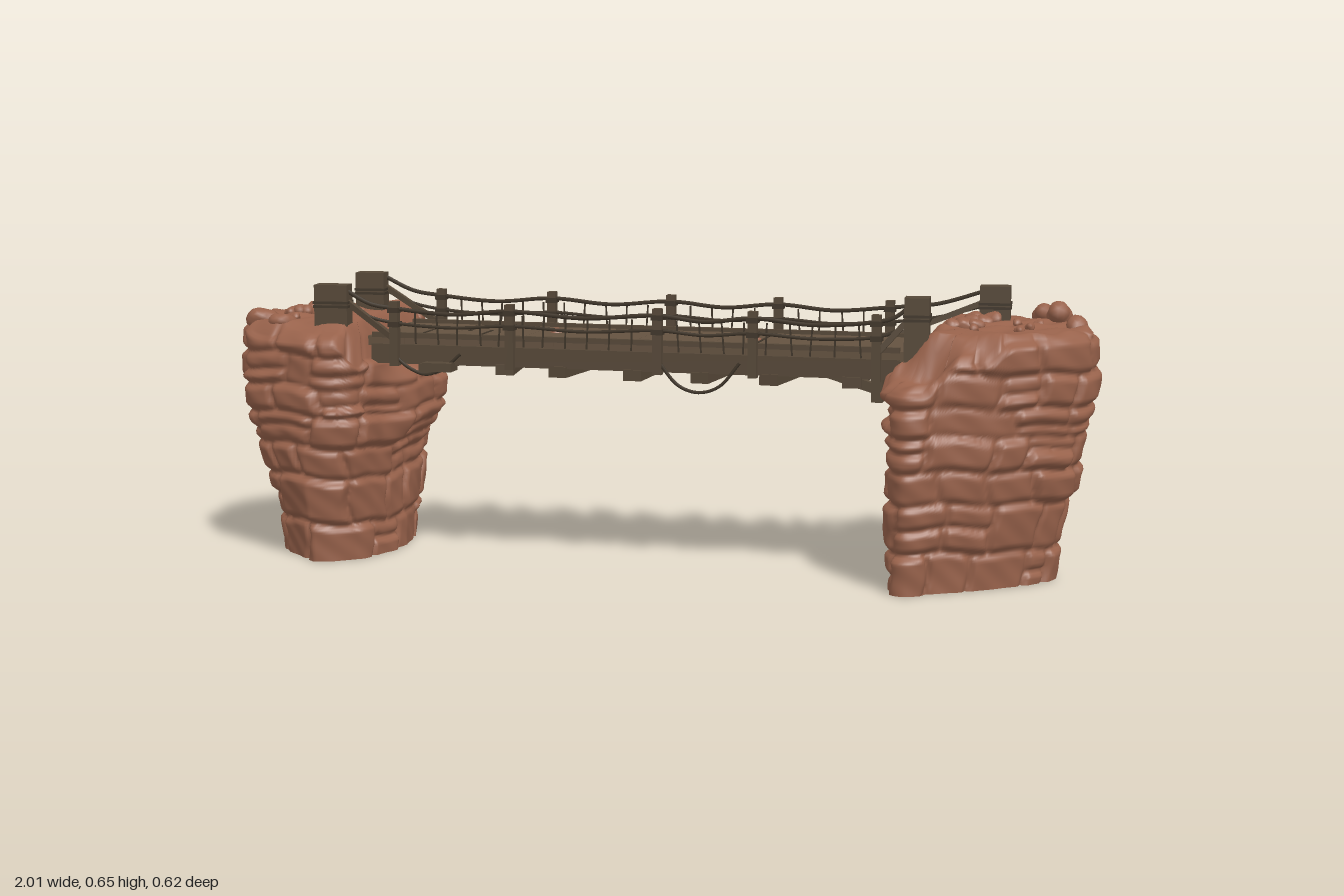
import * as THREE from 'three';
import { mergeVertices } from 'three/addons/utils/BufferGeometryUtils.js';

const material = (name, color) => new THREE.MeshStandardMaterial({ name, color });
const rock = material('red rock', 0x98624b);
const deckWood = material('deck wood', 0x645240);
const darkWood = material('dark wood', 0x564838);
const rope = material('rope', 0x40362a);

const V = (x, y, z) => new THREE.Vector3(x, y, z);
const smooth = THREE.MathUtils.smoothstep;
const TAU = Math.PI * 2;
const hash = (a, b = 0) => {
  const s = Math.sin(a * 127.1 + b * 311.7 + 4.3) * 43758.5453;
  return s - Math.floor(s);
};

function add(parent, name, geometry, mat, x = 0, y = 0, z = 0) {
  const mesh = new THREE.Mesh(geometry, mat);
  mesh.name = name;
  mesh.position.set(x, y, z);
  parent.add(mesh);
  return mesh;
}
const box = (parent, name, mat, w, h, d, x, y, z) =>
  add(parent, name, new THREE.BoxGeometry(w, h, d), mat, x, y, z);

// Square timber between two points
function timber(parent, name, a, b, size, mat = darkWood) {
  const mesh = box(parent, name, mat, size, a.distanceTo(b), size, 0, 0, 0);
  mesh.position.copy(a).lerp(b, 0.5);
  mesh.quaternion.setFromUnitVectors(V(0, 1, 0), b.clone().sub(a).normalize());
}

function cord(parent, name, points, r = 0.005) {
  const curve = new THREE.CatmullRomCurve3(points);
  add(parent, name, new THREE.TubeGeometry(curve, points.length * 6, r, 6), rope);
}

// Rows of stones wrapped round a pillar: seams sink, every stone stands out differently, some are split
const rowTops = [0, 0.085, 0.195, 0.27, 0.345, 0.41, 0.485, 0.64];
function stoneRelief(u, y, seed) {
  const wave = 0.007 * Math.sin(u * TAU * 2 + seed) + 0.004 * Math.sin(u * TAU * 7 + seed * 3);
  const yy = Math.max(0.001, y + wave * smooth(y, 0, 0.06));
  let row = 0;
  while (row < 6 && yy > rowTops[row + 1]) row++;
  const count = 9 + Math.floor(hash(row, seed) * 5);
  const along = u * count + hash(row, seed + 5) + 0.05 * Math.sin(y * 45 + seed);
  const edge = (k) => k + (hash(((k % count) + count) % count, row + seed) - 0.5) * 0.65;
  let k = Math.floor(along);
  if (along < edge(k)) k--;
  if (along >= edge(k + 1)) k++;
  const stone = ((k % count) + count) % count;
  const width = 1.6 / count;
  const du = Math.min(along - edge(k), edge(k + 1) - along) * width;
  let dy = Math.min(row ? yy - rowTops[row] : 1, rowTops[row + 1] - yy);
  let stand = 0.007 + 0.02 * hash(stone + 3, row * 7 + seed);
  if (hash(stone, row * 3 + seed) > 0.6) {
    const split = THREE.MathUtils.lerp(rowTops[row], rowTops[row + 1], 0.35 + 0.3 * hash(stone, row));
    dy = Math.min(dy, Math.abs(yy - split));
    if (yy > split) stand = 0.027 - stand * 0.7;
  }
  const round = (d) => smooth(d, -0.008, 0.017);
  const rough = 0.002 * Math.sin(u * TAU * 13 + y * 37) * Math.sin(y * 61 + u * TAU * 5);
  return (stand + rough) * round(du) * round(dy) - 0.011;
}

// Closed pillar: stone wall, then rings closing the top and the base
function pillarGeometry(outline, shape, top, seed) {
  const n = 240, rows = 92, capRings = 16, pos = [], index = [];
  const curve = new THREE.CatmullRomCurve3(outline.map(([x, z]) => V(x, 0, z)), true);
  const center = V(0, 0, 0);
  outline.forEach(([x, z]) => center.add(V(x, 0, z).divideScalar(outline.length)));
  const rim = [];
  for (let j = 0; j <= rows; j++) {
    for (let i = 0; i < n; i++) {
      const u = i / n, p = curve.getPointAt(u), t = curve.getTangentAt(u);
      const y = (j / rows) * (top(p.x, p.z) - 0.01);
      const q = shape(p.x, y, p.z);
      const out = stoneRelief(u, y, seed) - 0.014 * smooth(j / rows, 0.97, 1);
      pos.push(q.x - t.z * out, y, q.z + t.x * out);
      if (j === rows) rim.push(V(q.x - t.z * out, y, q.z + t.x * out));
    }
  }
  for (let j = 1; j <= capRings; j++) {
    const s = 1 - j / capRings;
    for (const r of rim) {
      const x = center.x + (r.x - center.x) * s, z = center.z + (r.z - center.z) * s;
      const lump = 0.005 * Math.sin(x * 47 + seed) * Math.sin(z * 53) + 0.003 * Math.sin(x * 29 + 2) * Math.sin(z * 71 + x * 20);
      pos.push(x, top(x, z) + lump, z);
    }
  }
  const total = rows + capRings;
  for (let j = 0; j < total; j++) for (let i = 0; i < n; i++) {
    const a = j * n + i, b = j * n + (i + 1) % n;
    index.push(a, b, b + n, a, b + n, a + n);
  }
  const base = pos.length / 3;
  for (let i = 0; i < n; i++) pos.push(pos[i * 3], 0, pos[i * 3 + 2]);
  pos.push(center.x, 0, center.z);
  for (let i = 0; i < n; i++) index.push(base + n, base + (i + 1) % n, base + i);
  const g = new THREE.BufferGeometry();
  g.setAttribute('position', new THREE.Float32BufferAttribute(pos, 3));
  g.setIndex(index);
  g.computeVertexNormals();
  return g;
}

function boulder(parent, x, y, z, r, seed) {
  let g = new THREE.IcosahedronGeometry(r, 2);
  g.deleteAttribute('normal');
  g.deleteAttribute('uv');
  g = mergeVertices(g);
  const p = g.attributes.position, v = V(0, 0, 0);
  for (let i = 0; i < p.count; i++) {
    v.fromBufferAttribute(p, i);
    const d = v.clone().divideScalar(r);
    v.multiplyScalar(1 + 0.16 * Math.sin(d.x * 3 + seed) + 0.12 * Math.sin(d.z * 4 + d.y * 3 + seed * 2));
    p.setXYZ(i, v.x, v.y * 0.8, v.z);
  }
  g.computeVertexNormals();
  add(parent, 'looseRock', g, rock, x, y, z);
}

export function createModel() {
  const model = new THREE.Group();
  const group = (name) => {
    const g = new THREE.Group();
    g.name = name;
    model.add(g);
    return g;
  };

  // Rock pillars, narrower and rounder at the foot
  const rightTop = (x, z) => 0.57 - smooth(z, 0.16, 0.21) * (0.045 * (1 - smooth(x, 0.76, 0.84)) + 0.06 * (1 - smooth(x, 0.64, 0.72)))
    - 0.06 * (1 - smooth(x, 0.58, 0.65)) * (1 - smooth(z, 0.16, 0.21));
  const leftTop = (x, z) => 0.56 - 0.075 * smooth(x, -0.72, -0.66) - 0.02 * smooth(z, 0.2, 0.24);
  const footCut = (dx, dz, y, amount) => 1 - amount * Math.min(1, Math.abs(dx * dz) / 0.03) * (1 - smooth(y, -0.1, 0.45));
  const leftPillar = group('pillarAtNegativeX'), rightPillar = group('pillarAtPositiveX');
  add(leftPillar, 'stackedStones', pillarGeometry(
    [[-0.99, -0.06], [-0.985, 0.1], [-0.96, 0.21], [-0.87, 0.25], [-0.75, 0.285], [-0.685, 0.26], [-0.655, 0.14],
      [-0.65, 0], [-0.645, -0.12], [-0.655, -0.22], [-0.72, -0.305], [-0.8, -0.28], [-0.89, -0.235], [-0.945, -0.15]],
    (x, y, z) => {
      const rise = smooth(y, 0, 0.4), cut = footCut(x + 0.81, z, y, 0.24);
      const bulge = 0.055 * smooth(x, -0.75, -0.66) * (1 - smooth(Math.abs(z + 0.04), 0.08, 0.2))
        * smooth(y, 0.22, 0.34) * (1 - smooth(y, 0.4, 0.47));
      return V(-0.8 + (x + 0.8) * (0.88 + 0.12 * rise) * cut + bulge + 0.022 * (1 - rise), y, z * (0.86 + 0.14 * rise) * cut);
    }, leftTop, 2), rock);
  add(rightPillar, 'stackedStones', pillarGeometry(
    [[0.575, 0.1], [0.555, 0.22], [0.6, 0.29], [0.7, 0.25], [0.82, 0.18], [0.94, 0.08], [0.99, 0],
      [0.975, -0.1], [0.91, -0.185], [0.8, -0.23], [0.66, -0.25], [0.59, -0.19], [0.57, -0.06]],
    (x, y, z) => {
      const cut = z < 0 ? footCut(x - 0.75, z, y, x < 0.75 ? 0.36 : 0.22) : 1;
      const depth = z < 0 ? 0.87 + 0.13 * smooth(y, 0, 0.45) : 0.89 + 0.12 * smooth(y, 0, 0.3);
      const sx = 0.572 + (x - 0.572) * (0.77 + 0.23 * smooth(y, -0.12, 0.53));
      return V(0.74 + (sx - 0.74) * cut, y, z * depth * cut);
    }, rightTop, 9), rock);

  // Loose rocks on the pillar tops
  for (let i = 0; i < 18; i++) {
    const a = hash(i, 1) * TAU, d = 0.3 + 0.6 * hash(i, 2), r = 0.009 + 0.013 * hash(i, 3);
    const lx = -0.84 + Math.cos(a) * d * 0.11, lz = Math.sin(a) * d * 0.2;
    boulder(leftPillar, lx, leftTop(lx, lz) + 0.003, lz, r, i);
    const rx = 0.76 + Math.cos(a) * d * 0.14, rz = Math.sin(a) * d * 0.16 - 0.03;
    boulder(rightPillar, rx, rightTop(rx, rz) + 0.003, rz, r, i + 40);
  }
  for (const [x, y, z, r] of [[-0.94, 0.56, 0.16, 0.033], [-0.88, 0.555, 0.19, 0.03], [-0.72, 0.52, -0.25, 0.034]])
    boulder(leftPillar, x, y, z, r, x * 9);
  for (const [x, y, z, r] of [[0.89, 0.585, -0.15, 0.034], [0.85, 0.58, -0.19, 0.03], [0.94, 0.565, -0.07, 0.03]])
    boulder(rightPillar, x, y, z, r, x * 9);

  // Deck planks, side beams and skewed joists
  const deck = group('deck');
  const planks = 14, step = 1.26 / planks;
  for (let i = 0; i < planks; i++)
    box(deck, 'plank', deckWood, step, 0.022, 0.278 + 0.006 * hash(i), -0.68 + step * (i + 0.5), 0.514 + 0.0004 * hash(i, 4), 0.01);
  for (const z of [-0.127, 0.147]) {
    box(deck, 'sideBeam', darkWood, 1.24, 0.045, 0.022, -0.05, 0.485, z);
    box(deck, 'edgeBoard', darkWood, 1.24, 0.012, 0.012, -0.05, 0.528, z);
  }
  for (let i = 0; i < 7; i++)
    box(deck, 'joist', darkWood, 0.042, 0.025, 0.31, -0.53 + i * 0.165, 0.457 - 0.008 * hash(i, 6), 0.01).rotation.y = (hash(i, 8) - 0.5) * 0.3;
  box(deck, 'joistEnd', darkWood, 0.07, 0.02, 0.05, -0.5, 0.46, 0.165);
  for (const [x, z, length] of [[-0.57, 0.06, 0.12], [-0.48, -0.04, 0.1], [-0.43, 0.06, 0.15], [0.23, 0.02, 0.21]])
    box(deck, 'plankGap', rope, 0.006, 0.003, length, x, 0.525, z);
  boulder(deck, -0.27, 0.522, -0.02, 0.016, 3);
  boulder(deck, 0.21, 0.522, 0.01, 0.016, 5);

  // Corner posts with rope lashings
  const anchors = group('cornerPosts');
  for (const [x, z, w, d] of [[-0.77, -0.115, 0.07, 0.045], [-0.75, 0.19, 0.078, 0.046], [0.742, -0.157, 0.07, 0.05], [0.607, 0.142, 0.055, 0.052]]) {
    box(anchors, 'cornerPost', darkWood, w, 0.17, d, x, 0.562, z).rotation.y = 0.08;
    for (const y of [0.597, 0.606])
      box(anchors, 'lashing', rope, w + 0.005, 0.006, d + 0.005, x, y, z).rotation.y = 0.08;
  }

  // Railings: posts, sagging ropes, ties and end braces
  const railing = (name, z, posts, start, end) => {
    const g = group(name), out = Math.sign(z) * 0.01;
    for (const x of posts) {
      box(g, 'railPost', darkWood, 0.02, 0.15, 0.02, x, 0.533, z + out);
      box(g, 'postKnot', rope, 0.026, 0.012, 0.026, x, 0.588, z + out);
      box(g, 'postKnot', rope, 0.026, 0.012, 0.026, x, 0.555, z + out);
    }
    const stops = [start, ...posts.map((x) => V(x, 0.592, z + out)), end];
    for (const [drop, sag, r] of [[0, 0.011, 0.005], [0.034, 0.008, 0.004]]) {
      const path = [];
      stops.forEach((p, i) => {
        path.push(p.clone().setY(p.y - drop));
        const q = stops[i + 1];
        if (q) path.push(p.clone().lerp(q, 0.5).setY((p.y + q.y) / 2 - drop - sag));
      });
      cord(g, 'railRope', path, r);
    }
    for (let x = posts[0] + 0.05; x < posts[posts.length - 1]; x += 0.052)
      timber(g, 'ropeTie', V(x, 0.582, z + out), V(x + 0.012 * (hash(x) - 0.5), 0.51, z + out), 0.0035, rope);
    timber(g, 'brace', V(posts[0], 0.52, z + out), start.clone().setY(0.61), 0.013);
    timber(g, 'brace', V(posts[posts.length - 1], 0.52, z + out), end.clone().setY(0.61), 0.013);
  };
  railing('frontRailing', 0.153, [-0.61, -0.33, 0.02, 0.24, 0.52], V(-0.72, 0.635, 0.19), V(0.6, 0.635, 0.155));
  railing('backRailing', -0.13, [-0.6, -0.32, -0.025, 0.235, 0.5], V(-0.74, 0.635, -0.13), V(0.72, 0.635, -0.155));

  // Slack ropes below the deck and end struts
  const under = group('hangingRopes');
  for (const [x0, x1, low, z] of [[0.02, 0.21, 0.42, 0.163], [-0.62, -0.45, 0.44, 0.163], [-0.3, -0.12, 0.445, -0.143], [0.3, 0.46, 0.45, -0.143]])
    cord(under, 'slackRope', [V(x0, 0.49, z), V(x0 * 0.75 + x1 * 0.25, low + 0.015, z), V((x0 + x1) / 2, low, z), V(x0 * 0.25 + x1 * 0.75, low + 0.015, z), V(x1, 0.49, z)], 0.004);
  for (const z of [-0.12, 0.14]) {
    timber(deck, 'endStrut', V(0.4, 0.475, z), V(0.55, 0.43, z), 0.022);
    box(deck, 'strutBlock', darkWood, 0.025, 0.08, 0.025, 0.52, 0.45, z);
  }
  return model;
}
